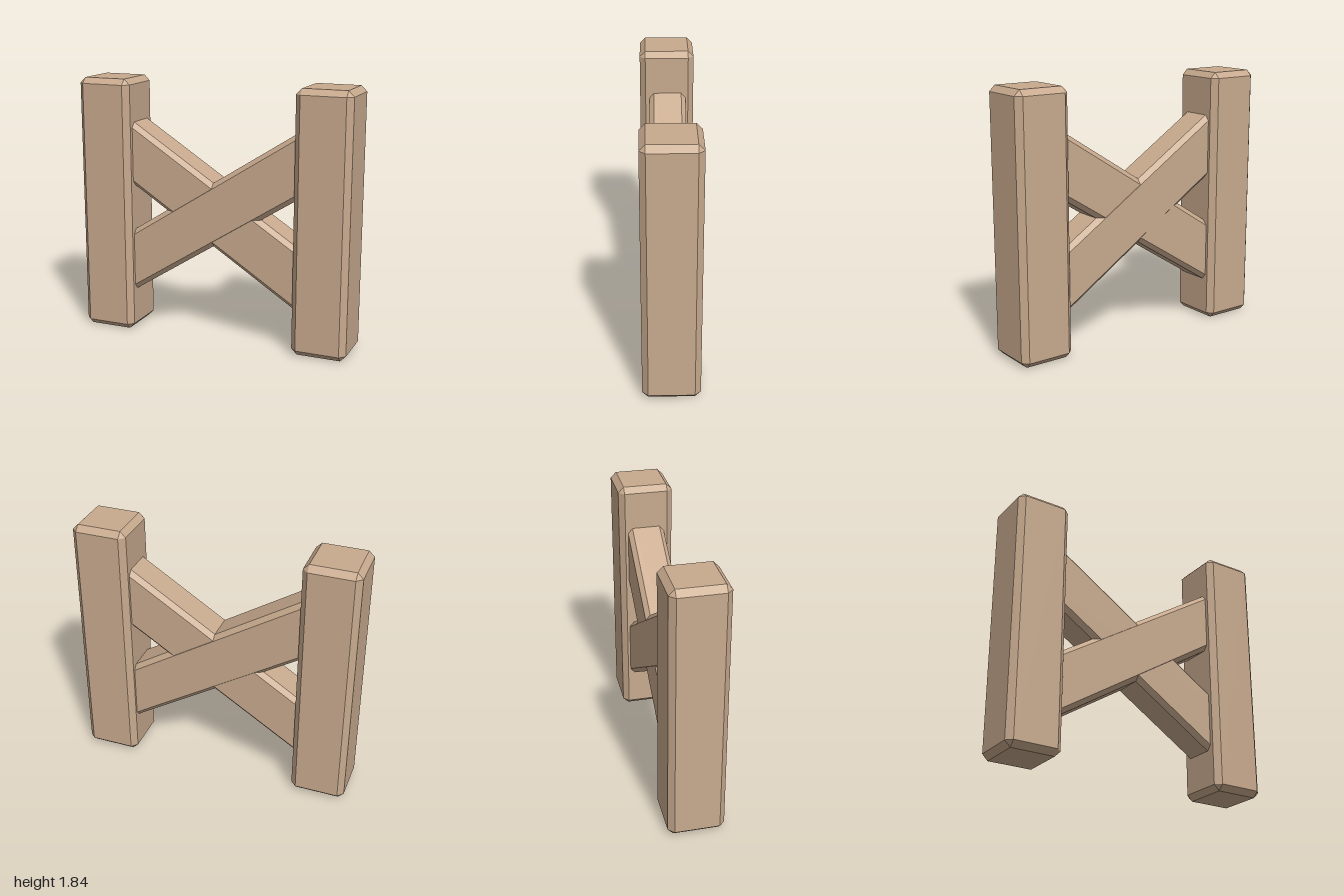
import * as THREE from 'three';
import { ConvexGeometry } from 'three/addons/geometries/ConvexGeometry.js';

// Box with every edge and corner cut by a flat chamfer
function chamferedBox(w, h, d, c) {
  const x = w / 2, y = h / 2, z = d / 2, points = [];
  for (const sx of [-1, 1]) for (const sy of [-1, 1]) for (const sz of [-1, 1]) {
    points.push(
      new THREE.Vector3(sx * x, sy * (y - c), sz * (z - c)),
      new THREE.Vector3(sx * (x - c), sy * y, sz * (z - c)),
      new THREE.Vector3(sx * (x - c), sy * (y - c), sz * z)
    );
  }
  return new ConvexGeometry(points);
}

export function createModel() {
  const group = new THREE.Group();
  const wood = new THREE.MeshStandardMaterial({ color: 0xc8aa8e, flatShading: true });

  const postGeometry = chamferedBox(0.39, 1.84, 0.39, 0.04);
  const braceGeometry = chamferedBox(1.9, 0.384, 0.264, 0.032);

  for (const side of [1, -1]) {
    const name = side > 0 ? 'left' : 'right';

    // Upright post
    const post = new THREE.Mesh(postGeometry, wood);
    post.name = name + 'Post';
    post.position.set(side * 0.805, 0.92, 0);
    group.add(post);

    // Diagonal brace rising to this side, its ends buried in the posts
    const brace = new THREE.Mesh(braceGeometry, wood);
    brace.name = name + 'RisingBrace';
    brace.position.set(0, 0.916, -0.004 + side * 0.001);
    brace.rotation.z = side * Math.atan(0.638);
    group.add(brace);
  }
  return group;
}
